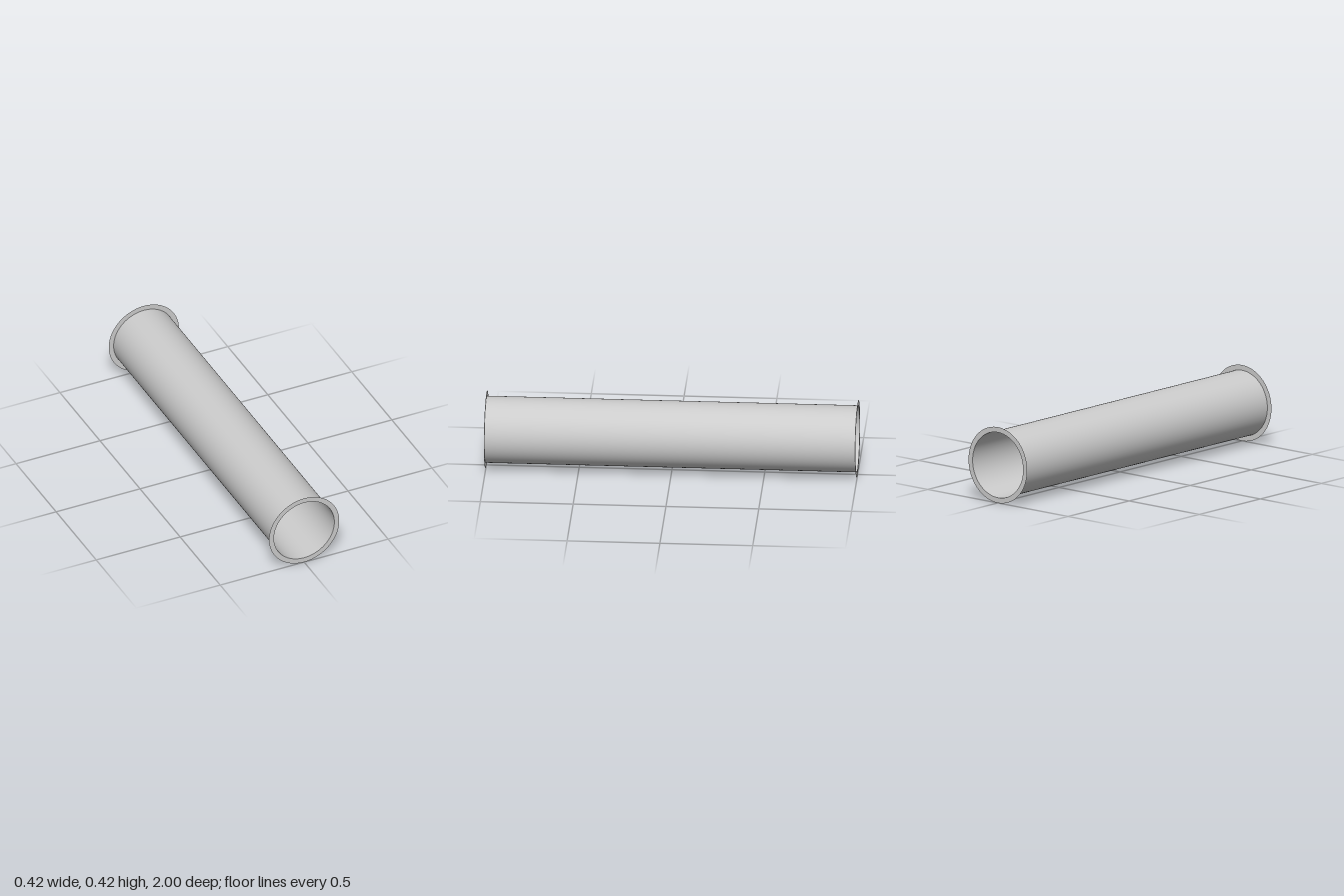
import * as THREE from 'three';

const LENGTH = 2, TUBE_RADIUS = 0.18, FLANGE_RADIUS = 0.209, SEGMENTS = 96;

export function createModel() {
  const model = new THREE.Group();
  model.name = 'flangedPipe';
  const material = new THREE.MeshStandardMaterial({ color: 0xcccccc, side: THREE.DoubleSide });

  const add = (name, geometry, z) => {
    const mesh = new THREE.Mesh(geometry, material);
    mesh.name = name;
    mesh.position.set(0, FLANGE_RADIUS, z);
    model.add(mesh);
    return mesh;
  };

  // Thin open tube running front to back
  const tube = new THREE.CylinderGeometry(TUBE_RADIUS, TUBE_RADIUS, LENGTH, SEGMENTS, 1, true);
  add('pipeWall', tube.rotateX(Math.PI / 2), 0);

  // Flat ring at each end, facing outward
  const ring = new THREE.RingGeometry(TUBE_RADIUS, FLANGE_RADIUS, SEGMENTS);
  add('frontFlange', ring, LENGTH / 2);
  add('backFlange', ring, -LENGTH / 2).rotation.y = Math.PI;

  return model;
}
